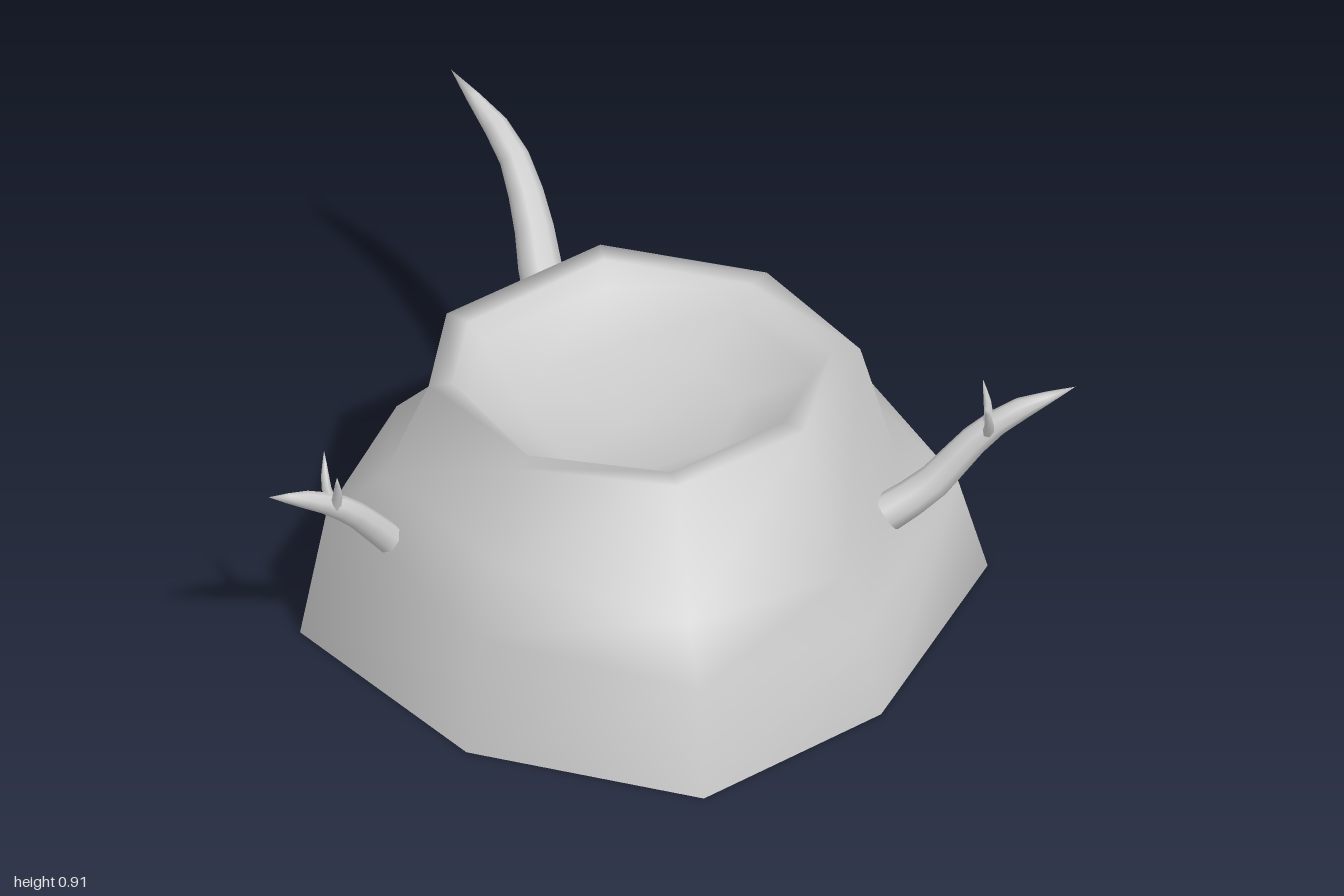
import * as THREE from 'three';

const material = new THREE.MeshStandardMaterial({ color: 0xcccccc, side: THREE.DoubleSide });

// Skin a list of equal-length point rings and close the last ring to a point.
function loft(rings, name, endPoint) {
  const n = rings[0].length;
  const positions = [...rings.flat(2), ...endPoint];
  const index = [];
  for (let r = 0; r < rings.length; r++) {
    for (let i = 0; i < n; i++) {
      const a = r * n + i, b = r * n + (i + 1) % n;
      if (r < rings.length - 1) index.push(a, b, b + n, a, b + n, a + n);
      else index.push(a, b, rings.length * n);
    }
  }
  const geometry = new THREE.BufferGeometry();
  geometry.setAttribute('position', new THREE.Float32BufferAttribute(positions, 3));
  geometry.setIndex(index);
  geometry.computeVertexNormals();
  const mesh = new THREE.Mesh(geometry, material);
  mesh.name = name;
  return mesh;
}

// Tapered limb along a curve; radii are spread evenly from base to tip.
function limb(points, radii, name, sides = 8, steps = 8) {
  const curve = new THREE.CatmullRomCurve3(points.map(p => new THREE.Vector3(...p)));
  const frames = curve.computeFrenetFrames(steps);
  const rings = [];
  for (let s = 0; s < steps; s++) {
    const t = s / steps, f = t * (radii.length - 1), k = Math.floor(f);
    const radius = THREE.MathUtils.lerp(radii[k], radii[k + 1], f - k);
    const centre = curve.getPointAt(t);
    rings.push(Array.from({ length: sides }, (_, i) => {
      const a = i / sides * Math.PI * 2;
      return centre.clone()
        .addScaledVector(frames.normals[s], Math.cos(a) * radius)
        .addScaledVector(frames.binormals[s], Math.sin(a) * radius).toArray();
    }));
  }
  const mesh = loft(rings, name, points[points.length - 1]);
  // Base cap
  mesh.add(loft([rings[0].slice().reverse()], name + 'Base', points[0]));
  return mesh;
}

function branch(name, points, radii, twigs = []) {
  const group = new THREE.Group();
  group.name = name;
  group.add(limb(points, radii, 'limb'));
  twigs.forEach(path => group.add(limb(path, [0.016, 0.014, 0.01, 0], 'twig', 6, 5)));
  return group;
}

export function createModel() {
  const model = new THREE.Group();
  model.name = 'treeStump';

  // Eight-sided trunk rings, starting at the back and running by the right, front and left
  const foot = [[0.08, 0, -0.9], [-0.59, 0, -0.71], [-0.75, 0, 0], [-0.59, 0, 0.58],
    [0.08, 0, 0.77], [0.71, 0, 0.58], [0.87, 0, 0], [0.71, 0, -0.71]];
  const flare = [[0.08, 0.44, -0.84], [-0.54, 0.41, -0.66], [-0.69, 0.35, 0], [-0.54, 0.38, 0.53],
    [0.08, 0.34, 0.72], [0.66, 0.3, 0.53], [0.82, 0.26, 0], [0.65, 0.28, -0.66]];
  const waist = [[0.08, 0.55, -0.68], [-0.42, 0.49, -0.51], [-0.55, 0.47, -0.01], [-0.43, 0.48, 0.43],
    [0.07, 0.5, 0.6], [0.57, 0.43, 0.45], [0.75, 0.4, 0], [0.54, 0.38, -0.54]];
  const rim = [[0.07, 0.74, -0.61], [-0.36, 0.74, -0.46], [-0.55, 0.69, -0.03], [-0.36, 0.74, 0.32],
    [0.06, 0.77, 0.53], [0.44, 0.745, 0.32], [0.61, 0.795, -0.02], [0.47, 0.74, -0.47]];

  // Flat lip inside the rim, then a rounded shallow bowl
  const inset = (scale, height) => rim.map(([x, y, z]) =>
    [0.03 + (x - 0.03) * scale, height(y), -0.04 + (z + 0.04) * scale]);
  const lip = inset(0.88, y => y);
  const bowlWall = inset(0.8, y => 0.68 + (y - 0.74) * 0.5);
  const bowlFloor = inset(0.5, () => 0.615);
  model.add(loft([foot, flare, waist, rim, lip, bowlWall, bowlFloor], 'trunk', [0.03, 0.57, -0.04]));

  // Large bare branch at the back right
  model.add(branch('backBranch',
    [[-0.46, 0.43, -0.41], [-0.56, 0.53, -0.48], [-0.64, 0.64, -0.55], [-0.77, 0.78, -0.63], [-1, 0.91, -0.685]],
    [0.067, 0.058, 0.047, 0.034, 0.004]));

  // Forked branch at the front right
  model.add(branch('frontBranch',
    [[-0.31, 0.385, 0.545], [-0.335, 0.455, 0.6], [-0.365, 0.545, 0.68], [-0.41, 0.61, 0.77], [-0.47, 0.668, 0.893]],
    [0.042, 0.038, 0.033, 0.024, 0.003],
    [[[-0.38, 0.56, 0.715], [-0.405, 0.62, 0.72], [-0.435, 0.715, 0.69]],
      [[-0.38, 0.56, 0.725], [-0.36, 0.62, 0.735], [-0.34, 0.71, 0.765]]]));

  // Forked branch at the back left
  model.add(branch('leftBranch',
    [[0.63, 0.34, -0.36], [0.71, 0.415, -0.45], [0.79, 0.54, -0.535], [0.86, 0.615, -0.6], [0.995, 0.697, -0.707]],
    [0.053, 0.047, 0.04, 0.03, 0.003],
    [[[0.82, 0.56, -0.55], [0.815, 0.63, -0.565], [0.79, 0.715, -0.575]],
      [[0.82, 0.56, -0.55], [0.85, 0.62, -0.52], [0.87, 0.715, -0.475]]]));

  return model;
}
